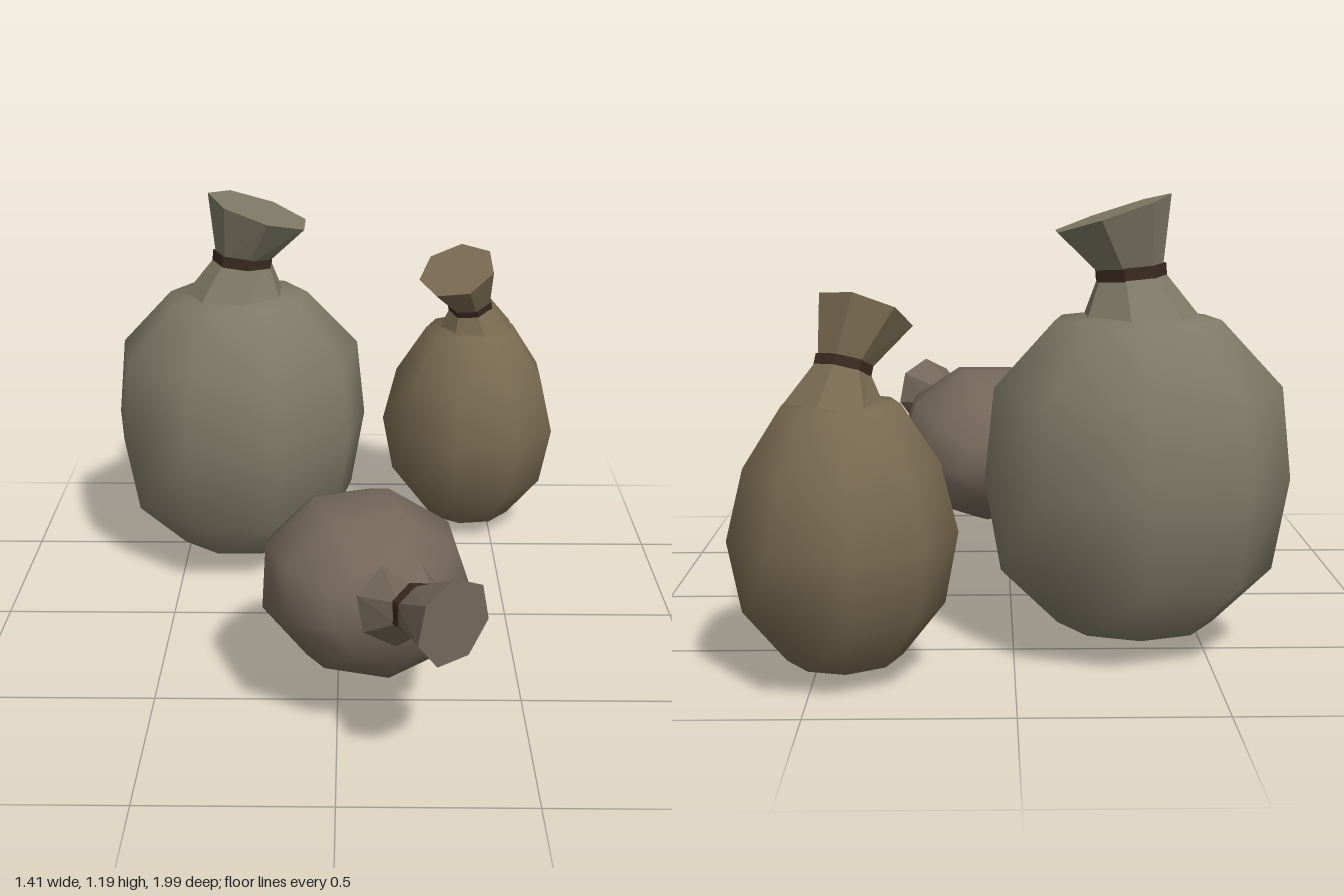
import * as THREE from 'three';
import { mergeVertices } from 'three/addons/utils/BufferGeometryUtils.js';

const V = (a) => new THREE.Vector3(...a);
const UP = new THREE.Vector3(0, 1, 0);

// Skin a list of rings { c: centre, n: normal, r: radius, sx, sz } with straight sides.
function loft(rings, sides, phase) {
  const pos = [], index = [];
  rings.forEach(({ c, n, r, sx = 1, sz = 1 }, k) => {
    const q = new THREE.Quaternion().setFromUnitVectors(UP, V(n).normalize());
    for (let i = 0; i < sides; i++) {
      const a = phase + (i / sides) * Math.PI * 2;
      const p = new THREE.Vector3(Math.cos(a) * r * sx, 0, Math.sin(a) * r * sz);
      p.applyQuaternion(q).add(V(c));
      pos.push(p.x, p.y, p.z);
      if (k === rings.length - 1) continue;
      const l0 = k * sides + i, l1 = k * sides + ((i + 1) % sides);
      index.push(l0, l0 + sides, l1, l1, l0 + sides, l1 + sides);
    }
  });
  let geo = new THREE.BufferGeometry();
  geo.setAttribute('position', new THREE.Float32BufferAttribute(pos, 3));
  geo.setIndex(index);
  geo = mergeVertices(geo, 1e-4);
  geo.computeVertexNormals();
  return geo;
}

function makeSack(s) {
  const sack = new THREE.Group();
  sack.name = s.name;
  const add = (name, geo, color, flatShading) => {
    const mat = new THREE.MeshStandardMaterial({ color, flatShading, side: THREE.DoubleSide });
    const mesh = new THREE.Mesh(geo, mat);
    mesh.name = name;
    sack.add(mesh);
  };

  // Bulging body along its own axis
  const axis = V(s.axis).normalize();
  const body = s.profile.map(([t, r]) => ({
    c: V(s.origin).addScaledVector(axis, t).toArray(), n: s.axis, r, sx: s.sx, sz: s.sz,
  }));
  add('body', loft(body, 9, THREE.MathUtils.degToRad(s.phase)), s.color, false);

  // Gathered neck, pinched at the tie, flaring out to a closed mouth
  const { base, tie, mouth } = s;
  add('neck', loft([base, tie, mouth, { ...mouth, r: 0 }], 7, Math.PI), s.color, true);

  // Cord around the pinch
  const n = V(tie.n).normalize();
  const at = (d, r) => ({ c: V(tie.c).addScaledVector(n, d).toArray(), n: tie.n, r });
  const h = tie.r * 0.2;
  add('cord', loft([at(-h, tie.r * 0.9), at(-h, tie.r * 1.12), at(h, tie.r * 1.12), at(h, tie.r * 0.9)], 7, Math.PI),
    0x3a2a20, true);
  return sack;
}

const SACKS = [
  {
    name: 'largeSack', color: 0x7f7966, origin: [-0.32, 0, -0.455], axis: [0, 1, 0], phase: -90, sx: 1.01, sz: 0.97,
    profile: [[0.02, 0], [0.07, 0.205], [0.22, 0.355], [0.46, 0.397], [0.7, 0.372], [0.87, 0.215], [0.9, 0]],
    base: { c: [-0.33, 0.86, -0.455], n: [0, 1, 0], r: 0.165 },
    tie: { c: [-0.3, 0.99, -0.45], n: [0.08, 1, 0], r: 0.085 },
    mouth: { c: [-0.25, 1.14, -0.45], n: [0.33, 1, 0], r: 0.163 },
  },
  {
    name: 'mediumSack', color: 0x786a50, origin: [0.425, 0, -0.695], axis: [0, 1, 0], phase: -98, sx: 0.97, sz: 1.04,
    profile: [[0, 0], [0.055, 0.15], [0.19, 0.26], [0.37, 0.295], [0.545, 0.25], [0.69, 0.152], [0.71, 0]],
    base: { c: [0.44, 0.68, -0.7], n: [-0.1, 1, 0.15], r: 0.13 },
    tie: { c: [0.42, 0.78, -0.675], n: [-0.2, 1, 0.35], r: 0.066 },
    mouth: { c: [0.37, 0.905, -0.62], n: [-0.3, 1, 0.5], r: 0.125 },
  },
  {
    name: 'lyingSack', color: 0x74675a, origin: [0.07, 0.365, 0.49], axis: [0.22, 0.12, 0.97], phase: -87, sx: 1.01, sz: 0.88,
    profile: [[-0.28, 0], [-0.25, 0.13], [-0.15, 0.235], [0, 0.285], [0.15, 0.255], [0.26, 0.15], [0.29, 0]],
    base: { c: [0.155, 0.425, 0.75], n: [0.3, 0.1, 0.95], r: 0.115 },
    tie: { c: [0.198, 0.445, 0.82], n: [0.45, 0.08, 0.9], r: 0.062 },
    mouth: { c: [0.28, 0.465, 0.925], n: [0.62, 0, 0.78], r: 0.115 },
  },
];

export function createModel() {
  const model = new THREE.Group();
  model.name = 'sacks';
  SACKS.forEach((s) => model.add(makeSack(s)));
  return model;
}
